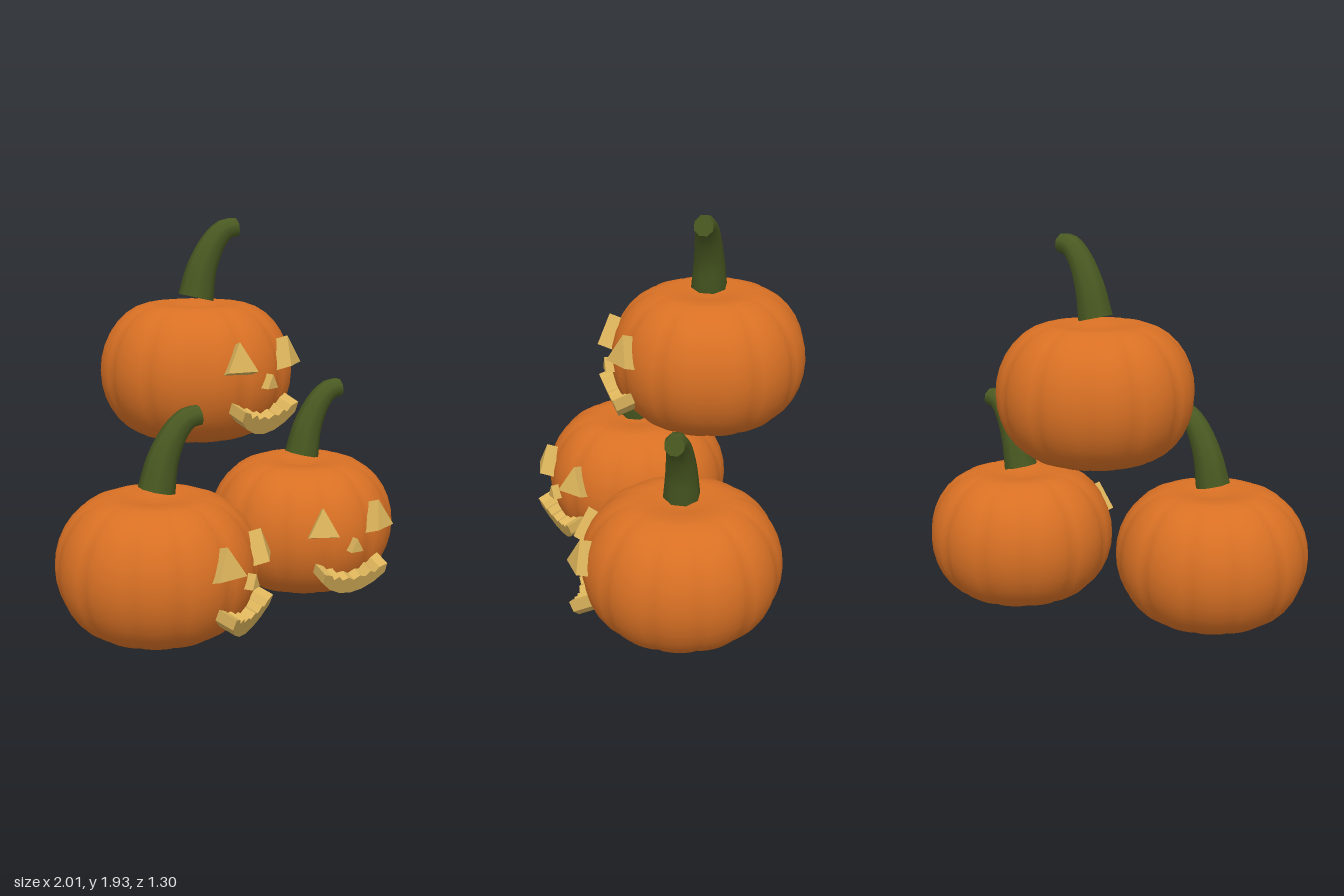
import * as THREE from 'three';
import { mergeVertices } from 'three/addons/utils/BufferGeometryUtils.js';

const material = (name, color) => Object.assign(new THREE.MeshStandardMaterial({ color }), { name });
const V = (x, y, z) => new THREE.Vector3(x, y, z);

// Ribbed body: lathed rounded profile whose radius is scalloped into lobes
function bodyGeometry() {
  const profile = [new THREE.Vector2(0, -0.3), new THREE.Vector2(0.1, -0.315)];
  for (let i = 0; i <= 16; i++) {
    const a = -Math.PI / 2 + (i / 16) * Math.PI;
    profile.push(new THREE.Vector2(0.2 + 0.285 * Math.cos(a), 0.335 * Math.sin(a)));
  }
  profile.push(new THREE.Vector2(0.1, 0.315), new THREE.Vector2(0, 0.3));
  const lathe = new THREE.LatheGeometry(profile, 96);
  const p = lathe.attributes.position;
  for (let i = 0; i < p.count; i++) {
    const x = p.getX(i), z = p.getZ(i);
    const lobe = Math.abs(Math.cos(6 * Math.atan2(x, z)));
    const s = 0.965 + 0.035 * Math.sqrt(lobe);
    p.setXYZ(i, x * s, p.getY(i), z * s);
  }
  lathe.deleteAttribute('uv');
  lathe.deleteAttribute('normal');
  const g = mergeVertices(lathe, 1e-4);
  g.computeVertexNormals();
  return g;
}

// Stem: tapered bent tube plus a flat cap at each end
function stemGeometries() {
  const curve = new THREE.CatmullRomCurve3([
    V(0, 0.36, 0), V(0.033, 0.505, 0.01), V(0.093, 0.635, 0.035), V(0.15, 0.695, 0.06), V(0.205, 0.705, 0.083),
  ]);
  const rings = 14, sides = 8;
  const tube = new THREE.TubeGeometry(curve, rings, 1, sides, false);
  const p = tube.attributes.position, v = V(0, 0, 0);
  const caps = [];
  for (let i = 0; i <= rings; i++) {
    const c = curve.getPointAt(i / rings), ring = [];
    const r = 0.09 - 0.042 * (i / rings);
    for (let j = 0; j <= sides; j++) {
      const k = i * (sides + 1) + j;
      v.fromBufferAttribute(p, k).sub(c).multiplyScalar(r).add(c);
      p.setXYZ(k, v.x, v.y, v.z);
      ring.push(v.clone());
    }
    if (i > 0 && i < rings) continue;
    const out = curve.getTangentAt(i / rings).multiplyScalar(i ? 1 : -1);
    const tris = [];
    for (let j = 0; j < sides; j++) {
      const a = ring[j], b = ring[j + 1];
      const turn = a.clone().sub(c).cross(b.clone().sub(c)).dot(out);
      tris.push(...(turn > 0 ? [c, a, b] : [c, b, a]));
    }
    const cap = new THREE.BufferGeometry().setFromPoints(tris);
    cap.computeVertexNormals();
    caps.push(cap);
  }
  return { tube, caps };
}

// Solid cut-out whose outer face lies at local z = 0
function prism(points, depth) {
  const shape = new THREE.Shape(points.map(([x, y]) => new THREE.Vector2(x, y)));
  return new THREE.ExtrudeGeometry(shape, { depth, bevelEnabled: false }).translate(0, 0, -depth);
}

export function createModel() {
  const orange = material('pumpkinOrange', 0xd87024);
  const green = material('stemGreen', 0x4a5a22);
  const yellow = material('glowYellow', 0xdab25a);

  const body = bodyGeometry();
  const stem = stemGeometries();
  const eye = prism([[-0.077, -0.07], [0.077, -0.07], [0, 0.075]], 0.085);
  const nose = prism([[-0.036, -0.033], [0.036, -0.033], [0, 0.035]], 0.06);

  // Smile: arched lower edge, toothed upper edge
  const half = [[0.19, 0.005], [0.19, 0.06], [0.145, 0.045], [0.125, 0.015], [0.095, 0.03], [0.07, 0.0], [0.035, 0.012]];
  const mirrored = half.map(([x, y]) => [-x, y]).reverse();
  const smile = [[0, -0.09], [0.07, -0.078], [0.135, -0.045], ...half, [0, -0.008],
    ...mirrored, [-0.135, -0.045], [-0.07, -0.078]];
  const mouth = prism(smile, 0.095);

  const add = (parent, name, geometry, mat) => {
    const mesh = new THREE.Mesh(geometry, mat);
    mesh.name = name;
    parent.add(mesh);
    return mesh;
  };

  function pumpkin(name, x, y, z, yaw) {
    const g = new THREE.Group();
    g.name = name;
    g.position.set(x, y, z);

    // Body and face turn together; every stem bends the same way
    const head = new THREE.Group();
    head.name = 'head';
    head.rotation.y = yaw;
    g.add(head);
    add(head, 'body', body, orange);

    for (const s of [-1, 1]) {
      const e = add(head, s > 0 ? 'leftEye' : 'rightEye', eye, yellow);
      e.position.set(s * 0.178, 0.125, 0.485);
      e.rotation.set(-0.32, s * 0.42, 0, 'YXZ');
    }
    add(head, 'nose', nose, yellow).position.set(0, -0.005, 0.525);
    const m = add(head, 'mouth', mouth, yellow);
    m.position.set(0, -0.185, 0.5);
    m.rotation.x = 0.36;

    const stalk = new THREE.Group();
    stalk.name = 'stem';
    g.add(stalk);
    add(stalk, 'stemTube', stem.tube, green);
    stem.caps.forEach((c, i) => add(stalk, i ? 'stemTip' : 'stemBase', c, green));
    return g;
  }

  const model = new THREE.Group();
  model.name = 'pumpkinStack';
  model.add(
    pumpkin('topPumpkin', 0, 1.185, -0.155, 0),
    pumpkin('rightPumpkin', -0.525, 0.335, 0.108, 0.29),
    pumpkin('leftPumpkin', 0.525, 0.335, 0.108, -0.29),
  );
  return model;
}
